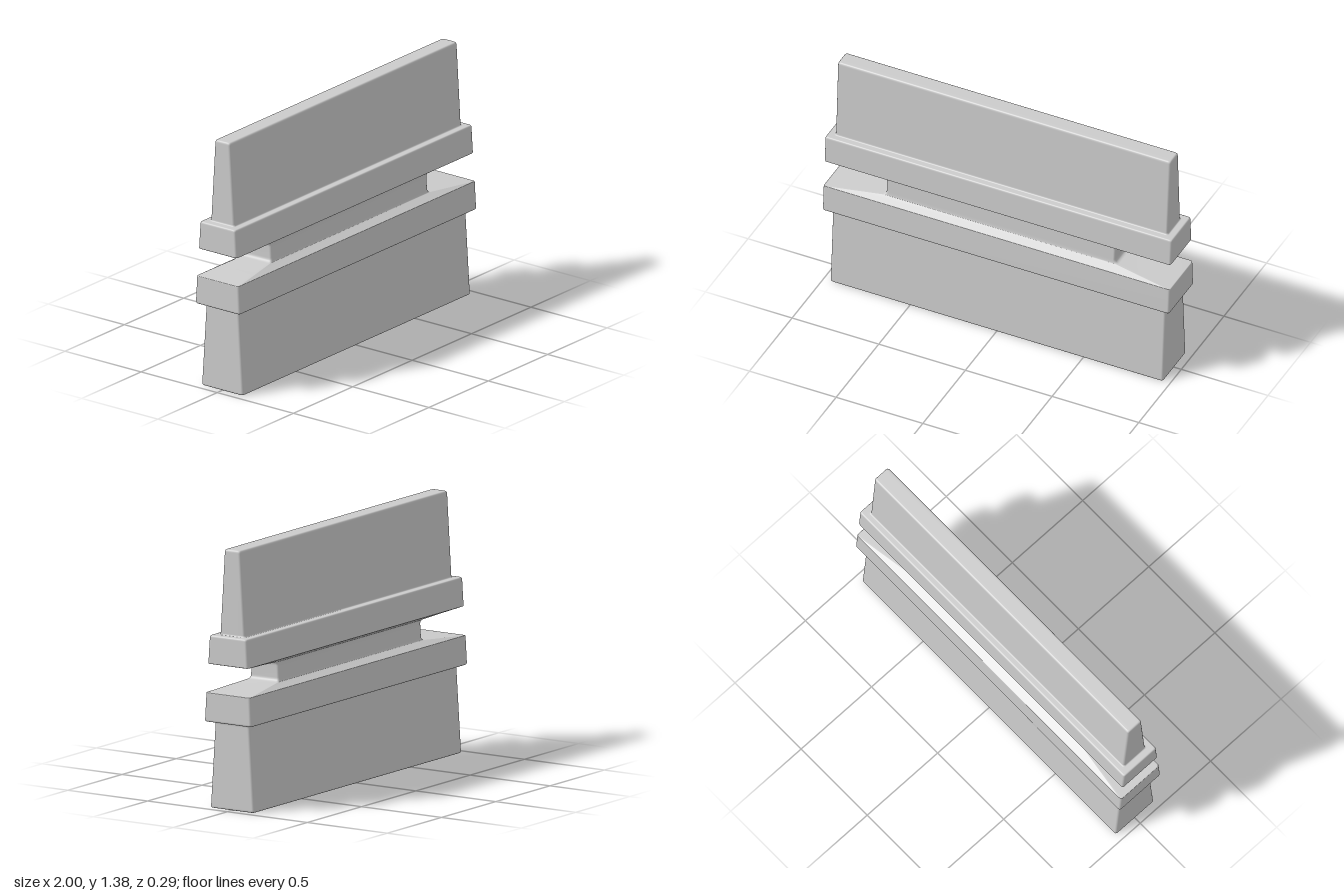
import * as THREE from 'three';

const ARC = 4; // steps per rounded plan corner
const CORNER = 0.012;

// Replaces the inner corners of a [y, halfX, halfZ, radius] profile by small arcs
function roundProfile(points) {
  const v = points.map(([y, x, z]) => new THREE.Vector3(x, y, z));
  const out = [v[0]];
  for (let i = 1; i < v.length - 1; i++) {
    const r = points[i][3] ?? 0.012;
    const toward = (p) => {
      const d = p.clone().sub(v[i]);
      return v[i].clone().addScaledVector(d, Math.min(r, d.length() * 0.45) / d.length());
    };
    const curve = new THREE.QuadraticBezierCurve3(toward(v[i - 1]), v[i], toward(v[i + 1]));
    out.push(...curve.getPoints(5));
  }
  out.push(v[v.length - 1]);
  return out;
}

// Lofts rounded rectangles along a profile, from bottom to top
function loft(name, points, cap, material) {
  const rings = roundProfile(points);
  const pos = [], index = [];
  const n = 4 * (ARC + 1);
  for (const { x, y, z } of rings) {
    for (let c = 0; c < 4; c++) {
      const sx = c === 0 || c === 3 ? 1 : -1;
      const sz = c < 2 ? 1 : -1;
      for (let k = 0; k <= ARC; k++) {
        const a = (c + k / ARC) * Math.PI / 2;
        pos.push(sx * (x - CORNER) + CORNER * Math.cos(a), y, sz * (z - CORNER) + CORNER * Math.sin(a));
      }
    }
  }
  for (let j = 0; j < rings.length - 1; j++) {
    for (let i = 0; i < n; i++) {
      const a = j * n + i, b = j * n + (i + 1) % n;
      index.push(a, a + n, b, b, a + n, b + n);
    }
  }
  // Flat end face
  if (cap) {
    const start = cap === 'top' ? (rings.length - 1) * n : 0;
    const centre = pos.length / 3;
    pos.push(0, pos[start * 3 + 1], 0);
    for (let i = 0; i < n; i++) {
      const a = start + i, b = start + (i + 1) % n;
      if (cap === 'top') index.push(centre, b, a);
      else index.push(centre, a, b);
    }
  }
  const geometry = new THREE.BufferGeometry();
  geometry.setAttribute('position', new THREE.Float32BufferAttribute(pos, 3));
  geometry.setIndex(index);
  geometry.computeVertexNormals();
  const mesh = new THREE.Mesh(geometry, material);
  mesh.name = name;
  return mesh;
}

export function createModel() {
  const group = new THREE.Group();
  group.name = 'wallSegment';
  const material = new THREE.MeshStandardMaterial({ color: 0xcccccc });

  // Rows are y, half width, half depth, optional edge radius; parts meet on the ledges
  const ledgeLow = [0.46, 0.98, 0.126];
  const slopeLow = [0.6275, 0.83, 0.1135];
  const slopeHigh = [0.7575, 0.83, 0.104];
  const ledgeHigh = [0.92, 0.979, 0.096];

  group.add(
    // Tapered foot
    loft('base', [[0, 0.93, 0.105], [0, 0.96, 0.136], [0.459, 0.96, 0.106, 0.015], ledgeLow], 'bottom', material),
    // Lower rail with a top sloping up to the neck
    loft('lowerRail', [ledgeLow, [0.461, 1, 0.146], [0.615, 1, 0.137, 0.005], slopeLow], null, material),
    // Recessed neck
    loft('neck', [slopeLow, [0.64, 0.66, 0.09, 0.022], [0.745, 0.66, 0.083, 0.022], slopeHigh], null, material),
    // Upper rail with an underside sloping down to its rim
    loft('upperRail', [slopeHigh, [0.768, 1, 0.125, 0.005], [0.92, 1, 0.115], ledgeHigh], null, material),
    // Tapered upper panel
    loft('upperPanel', [ledgeHigh, [0.92, 0.958, 0.077, 0.01], [1.375, 0.96, 0.048, 0.015], [1.375, 0.93, 0.02]], 'top', material),
  );
  return group;
}
